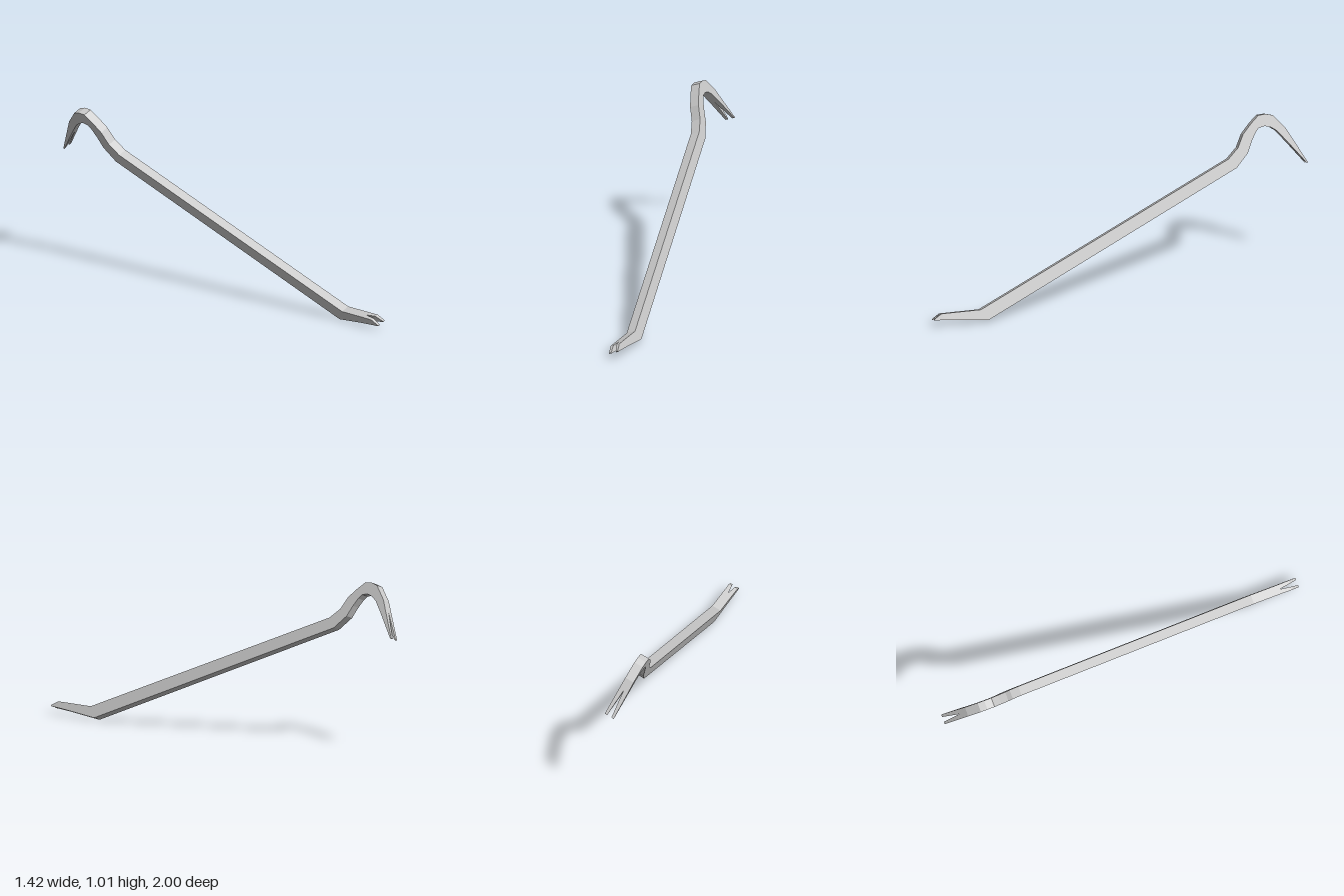
import * as THREE from 'three';

// Stations along the bar: [outer s, outer u, inner s, inner u, half width, half slit]
// s runs along the shaft, u across it in the plane of the bends.
const foot = [
  [-1.235, 0.138, -1.235, 0.132, 0.030, 0.016],
  [-1.18, 0.145, -1.18, 0.102, 0.030, 0.010],
  [-1.115, 0.115, -1.115, 0.064, 0.029, 0],
  [-0.958, 0.041, -0.947, -0.037, 0.029, 0],
];
const shaftEnd = [0.809, 0.035, 0.827, -0.037, 0.029, 0];
const hook = [
  shaftEnd,
  [0.893, 0.063, 0.930, 0.005, 0.029, 0],
  [0.961, 0.117, 0.985, 0.053, 0.029, 0],
  [1.037, 0.148, 1.030, 0.085, 0.029, 0],
  [1.100, 0.167, 1.062, 0.100, 0.029, 0],
  [1.143, 0.150, 1.100, 0.092, 0.029, 0],
  [1.175, 0.123, 1.130, 0.065, 0.029, 0],
  [1.205, 0.020, 1.150, 0.030, 0.029, 0],
  [1.209, -0.056, 1.172, -0.056, 0.030, 0],
  [1.220, -0.234, 1.212, -0.232, 0.031, 0.015],
];

// Lofts the stations as two mirrored halves, which part where the slit opens.
function loft(stations, capStart, capEnd) {
  const pos = [];
  const quad = (a, b, c, d) => pos.push(...a, ...b, ...c, ...a, ...c, ...d);
  for (const side of [1, -1]) {
    const rings = stations.map(([os, ou, is, iu, w, g]) => {
      const lo = side > 0 ? g : -w, hi = side > 0 ? w : -g;
      return { lo, hi, ol: [os, ou, lo], oh: [os, ou, hi], il: [is, iu, lo], ih: [is, iu, hi] };
    });
    for (let k = 0; k < rings.length - 1; k++) {
      const A = rings[k], B = rings[k + 1];
      quad(A.ol, A.oh, B.oh, B.ol);
      quad(A.ih, A.il, B.il, B.ih);
      // No wall on the centre plane where the halves touch
      if (A.hi || B.hi) quad(A.ih, B.ih, B.oh, A.oh);
      if (A.lo || B.lo) quad(B.il, A.il, A.ol, B.ol);
    }
    const S = rings[0], E = rings[rings.length - 1];
    if (capStart) quad(S.il, S.ih, S.oh, S.ol);
    if (capEnd) quad(E.ih, E.il, E.ol, E.oh);
  }
  const geo = new THREE.BufferGeometry();
  geo.setAttribute('position', new THREE.Float32BufferAttribute(pos, 3));
  geo.computeVertexNormals();
  return geo;
}

export function createModel() {
  const group = new THREE.Group();
  group.name = 'pryBar';
  const material = new THREE.MeshStandardMaterial({ color: 0xcccccc, flatShading: true });

  // Tilted frame: along the shaft, across it, and across its width
  const along = new THREE.Vector3(-0.566, 0.396, -0.723).normalize();
  const across = new THREE.Vector3(0.82, 0.35, -0.45).cross(along).normalize();
  const width = along.clone().cross(across);
  const bar = new THREE.Group();
  bar.name = 'bar';
  bar.quaternion.setFromRotationMatrix(new THREE.Matrix4().makeBasis(along, across, width));
  bar.position.set(0, 0.42, 0.02);
  group.add(bar);

  const add = (name, geometry) => {
    const mesh = new THREE.Mesh(geometry, material);
    mesh.name = name;
    bar.add(mesh);
  };
  add('forkedFoot', loft(foot, true, false));
  add('shaft', loft([foot[foot.length - 1], shaftEnd], false, false));
  add('forkedHook', loft(hook, false, true));
  return group;
}
